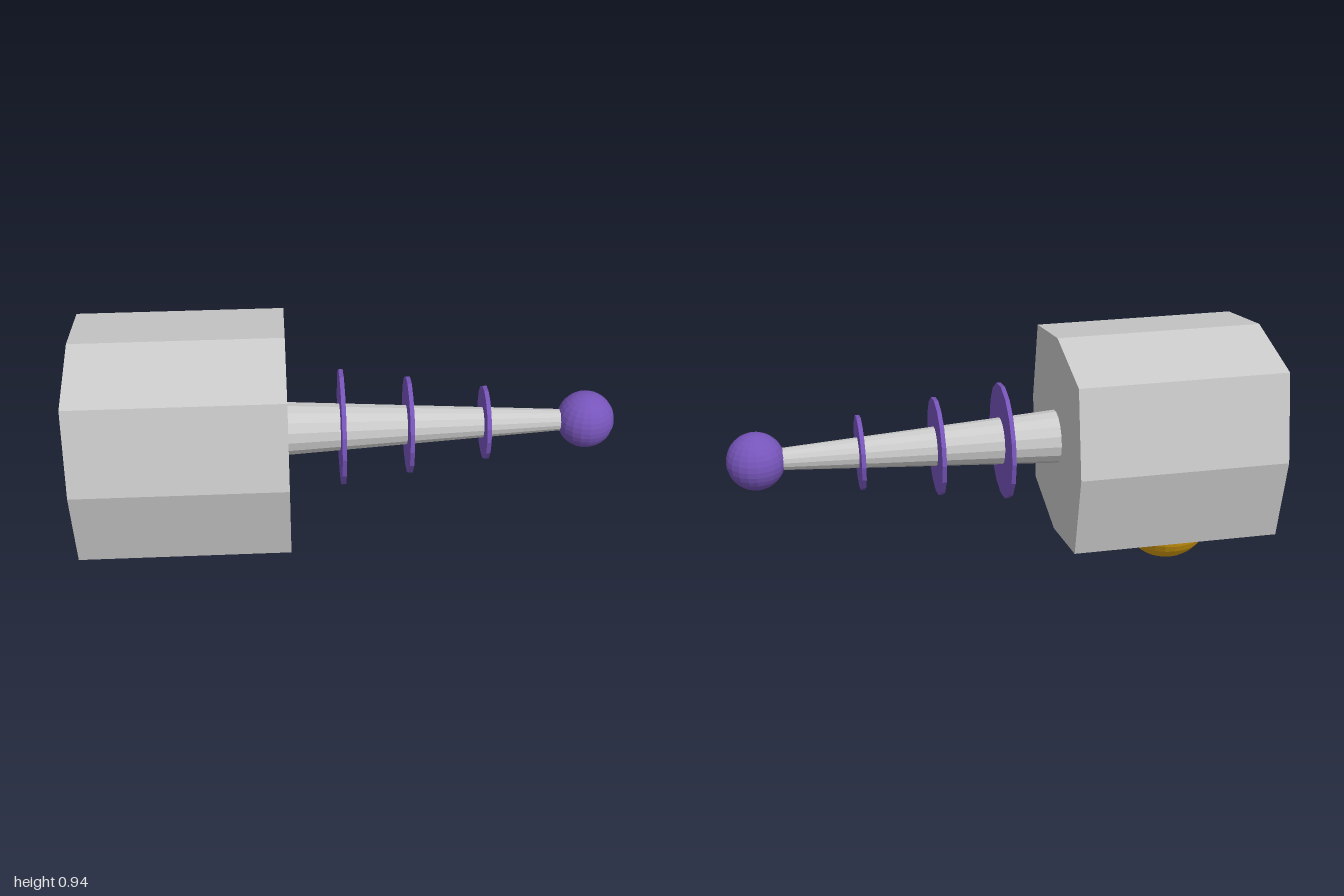
import * as THREE from 'three';

const AXIS_Y = 0.543;

function material(color) {
  return new THREE.MeshStandardMaterial({ color, flatShading: true });
}

export function createModel() {
  const model = new THREE.Group();
  const grey = material(0xcccccc);
  const purple = material(0x7755bb);
  const gold = material(0xdaa010);

  function add(name, geometry, mat, x, y = AXIS_Y) {
    const mesh = new THREE.Mesh(geometry, mat);
    mesh.name = name;
    mesh.position.set(x, y, 0);
    model.add(mesh);
    return mesh;
  }

  // Tapered round part lying along x
  function rod(rightRadius, leftRadius, length) {
    return new THREE.CylinderGeometry(rightRadius, leftRadius, length, 16).rotateZ(-Math.PI / 2);
  }

  // Eight-sided body with bulging sides
  const r = 0.393, c = 0.327;
  const outline = [[r, 0], [c, c], [0, r], [-c, c], [-r, 0], [-c, -c], [0, -r], [c, -c]];
  const shape = new THREE.Shape(outline.map(([x, y]) => new THREE.Vector2(x, y)));
  const body = new THREE.ExtrudeGeometry(shape, { depth: 0.775, bevelEnabled: false });
  add('body', body.rotateY(Math.PI / 2), grey, -1);

  // Tapered barrel
  add('barrel', rod(0.035, 0.1, 1.12), grey, 0.335);

  // Thin discs, smaller towards the tip
  [[-0.022, 0.217], [0.227, 0.182], [0.513, 0.138]].forEach(([x, radius], i) => {
    add(`disc${i + 1}`, rod(radius, radius, 0.016), purple, x);
  });

  // Ball at the tip
  add('tipBall', new THREE.SphereGeometry(0.107, 20, 16), purple, 0.893);

  // Round knob sunk into the underside
  add('bottomKnob', new THREE.SphereGeometry(0.174, 24, 16), gold, -0.672, 0.174);

  return model;
}
